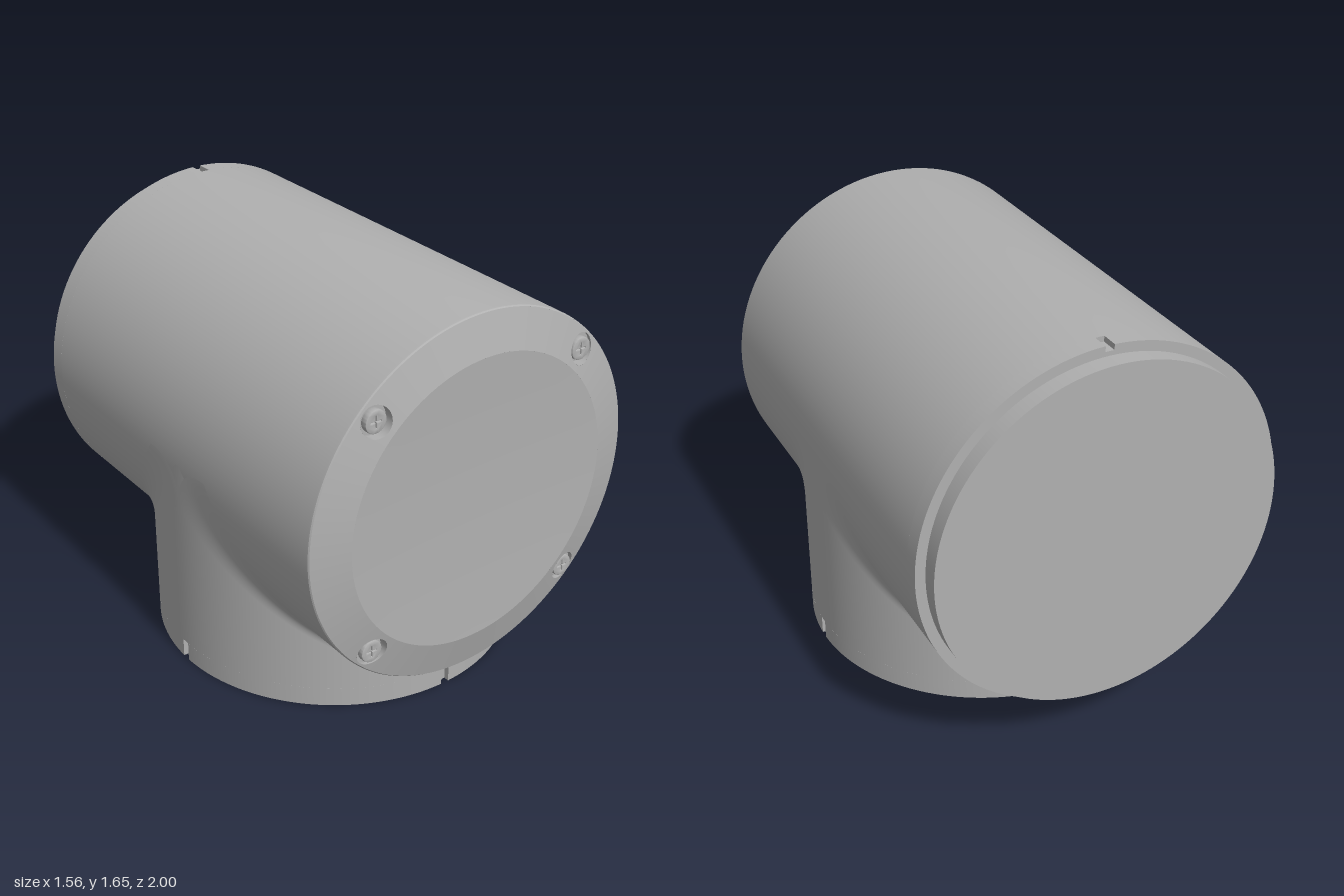
import * as THREE from 'three';
import { toCreasedNormals } from 'three/addons/utils/BufferGeometryUtils.js';
import { ParametricGeometry } from 'three/addons/geometries/ParametricGeometry.js';

const R = 0.74;          // radius of both pipes
const AXIS_Y = 0.91;     // height of the horizontal pipe
const BASE_Z = 0.085;    // the vertical pipe sits slightly forward
const PI = Math.PI;
const RIM_OUT = 0.735, RIM_IN = 0.585, SLOPE = 0.04 / 0.15;
const coneZ = (r) => 0.975 - (r - RIM_IN) * SLOPE;

export function createModel() {
  const model = new THREE.Group();
  model.name = 'teePipeFitting';
  const body = new THREE.Group();
  body.name = 'fittingBody';
  body.rotation.y = 0.0436;
  model.add(body);

  const grey = new THREE.MeshStandardMaterial({ color: 0xb0b0b0, side: THREE.DoubleSide });
  grey.name = 'plainGrey';

  function add(parent, name, geometry, x = 0, y = 0, z = 0) {
    const mesh = new THREE.Mesh(geometry, grey);
    mesh.name = name;
    mesh.position.set(x, y, z);
    parent.add(mesh);
    return mesh;
  }

  // lathe around z; points are [radius, z]
  function latheZ(points, start = 0, length = 2 * PI, segments = 128) {
    const g = new THREE.LatheGeometry(points.map((p) => new THREE.Vector2(...p)), segments, start, length);
    return g.rotateX(PI / 2);
  }

  // circle outline with shallow slots cut in at the given angles
  function slottedCircle(angles) {
    const shape = new THREE.Shape();
    const half = 0.024, inner = R - 0.022;
    angles.forEach((a, i) => {
      const next = i + 1 < angles.length ? angles[i + 1] : angles[0] + 2 * PI;
      shape.absarc(0, 0, R, a + half, next - half, false);
      shape.lineTo(inner * Math.cos(next - half), inner * Math.sin(next - half));
      shape.lineTo(inner * Math.cos(next + half), inner * Math.sin(next + half));
    });
    return shape;
  }
  const extrude = (shape, depth) =>
    new THREE.ExtrudeGeometry(shape, { depth, bevelEnabled: false, curveSegments: 64 });

  // horizontal pipe
  const main = new THREE.Group();
  main.name = 'horizontalPipe';
  main.position.y = AXIS_Y;
  body.add(main);
  add(main, 'pipeWall', toCreasedNormals(
    latheZ([[0, -0.83], [R, -0.83], [R, 0.922], [0.739, 0.93], [RIM_OUT, 0.935]]), 0.4));
  add(main, 'backRim', toCreasedNormals(extrude(slottedCircle([-PI / 2, PI / 2]), 0.07), 0.4), 0, 0, -0.9);
  add(main, 'backPlug', latheZ([[0.7, -0.97], [0.7, -0.85]]));
  add(main, 'backPlugFace', new THREE.CircleGeometry(0.7, 128).rotateY(PI), 0, 0, -0.97);

  // shallow dished front panel
  const dish = [];
  for (let i = 8; i >= 0; i--) {
    const r = (RIM_IN * i) / 8;
    dish.push([r, 0.962 + 0.013 * (i / 8) ** 2]);
  }
  add(main, 'frontPanel', latheZ(dish));

  // sloped front rim with four recessed screws
  const cx = 0.667 * Math.SQRT1_2;
  const sector = new THREE.Shape();
  sector.absarc(0, 0, RIM_OUT, PI / 4 - 0.12, PI / 4 + 0.12, false);
  sector.absarc(0, 0, RIM_IN, PI / 4 + 0.12, PI / 4 - 0.12, true);
  sector.holes.push(new THREE.Path().absarc(cx, cx, 0.06, 0, 2 * PI, true));
  const sectorGeo = new THREE.ShapeGeometry(sector, 32);
  const p = sectorGeo.attributes.position, n = sectorGeo.attributes.normal;
  const v = new THREE.Vector3();
  for (let i = 0; i < p.count; i++) {
    const r = Math.hypot(p.getX(i), p.getY(i));
    p.setZ(i, coneZ(r));
    v.set((p.getX(i) / r) * SLOPE, (p.getY(i) / r) * SLOPE, 1).normalize();
    n.setXYZ(i, v.x, v.y, v.z);
  }

  // screw hole wall trimmed to the slope
  const holeGeo = new THREE.CylinderGeometry(0.06, 0.06, 1, 32, 1, true).rotateX(PI / 2);
  holeGeo.translate(cx, cx, 0);
  const hp = holeGeo.attributes.position;
  for (let i = 0; i < hp.count; i++) {
    hp.setZ(i, hp.getZ(i) > 0 ? coneZ(Math.hypot(hp.getX(i), hp.getY(i))) : 0.925);
  }

  // screw head with a cross-shaped recess
  const head = new THREE.Shape().absarc(0, 0, 0.041, 0, 2 * PI, false);
  const a = 0.027, b = 0.006;
  head.holes.push(new THREE.Path([
    [a, b], [b, b], [b, a], [-b, a], [-b, b], [-a, b],
    [-a, -b], [-b, -b], [-b, -a], [b, -a], [b, -b], [a, -b],
  ].map((q) => new THREE.Vector2(...q))));
  const headGeo = toCreasedNormals(new THREE.ExtrudeGeometry(head, {
    depth: 0.018, bevelThickness: 0.005, bevelSize: 0.004, bevelSegments: 2, curveSegments: 24,
  }), 0.5);

  for (let k = 0; k < 4; k++) {
    const corner = new THREE.Group();
    corner.name = 'screwCorner';
    corner.rotation.z = (k * PI) / 2;
    main.add(corner);
    add(corner, 'rimAroundScrew', sectorGeo);
    add(corner, 'screwHole', holeGeo);
    add(corner, 'screwSeat', new THREE.CircleGeometry(0.06, 32), cx, cx, 0.925);
    add(corner, 'screwHead', headGeo, cx, cx, 0.93);
    add(corner, 'frontRim',
      latheZ([[RIM_OUT, 0.935], [RIM_IN, 0.975]], PI / 4 + 0.12, PI / 2 - 0.24, 32));
  }

  // vertical pipe with an open socket and three slots at its foot
  const base = new THREE.Group();
  base.name = 'verticalPipe';
  base.position.z = BASE_Z;
  body.add(base);
  const foot = slottedCircle([-PI / 2, 0, PI]);
  foot.holes.push(new THREE.Path().absarc(0, 0, 0.695, 0, 2 * PI, true));
  add(base, 'footRim', toCreasedNormals(extrude(foot, 0.08).rotateX(-PI / 2), 0.4));
  add(base, 'socketFloor', new THREE.CircleGeometry(0.695, 128).rotateX(PI / 2), 0, 0.06, 0);
  add(base, 'pipeWall', new THREE.CylinderGeometry(R, R, 0.82, 128), 0, 0.49, 0);

  // blends where the pipes meet, widening towards the sides
  for (const side of [1, -1]) {
    const blend = (u, t, target) => {
      const phi = (side > 0 ? u : 1 - u) * PI;
      const s = Math.sin(phi);
      const d = 0.03 + 0.16 * Math.pow(Math.max(0, 1 - s), 1.5);
      const out = d * (1 - t) * (1 - t), down = d * t * t;
      target.set(R * Math.cos(phi), AXIS_Y - R * s - down, side * (R * s + out));
    };
    add(base, side > 0 ? 'frontBlend' : 'backBlend', new ParametricGeometry(blend, 96, 10));
  }

  return model;
}
